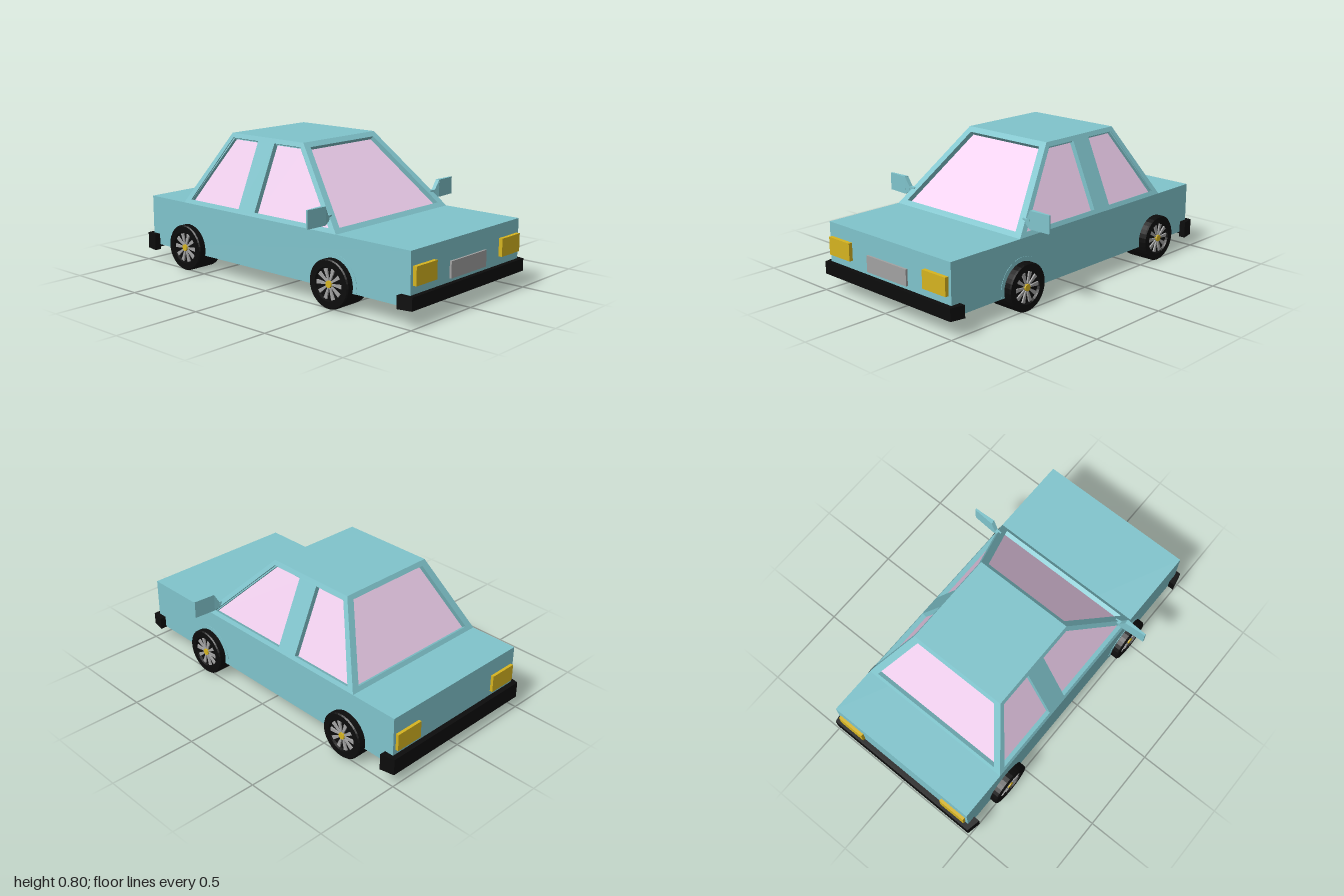
import * as THREE from 'three';
import { ConvexGeometry } from 'three/addons/geometries/ConvexGeometry.js';

const mat = (color, extra = {}) => {
  const m = new THREE.MeshStandardMaterial({ color, flatShading: true });
  return Object.assign(m, extra);
};
const V = (x, y, z) => new THREE.Vector3(x, y, z);

export function createModel() {
  const paint = mat(0x80c4cc);
  const glass = mat(0xf0d0ee, { side: THREE.DoubleSide });
  const black = mat(0x0c0c0c);
  const yellow = mat(0xd6b420);
  const grey = mat(0xa2a2a2);

  const car = new THREE.Group();
  car.name = 'car';

  const add = (name, geometry, material, parent = car) => {
    const mesh = new THREE.Mesh(geometry, material);
    mesh.name = name;
    parent.add(mesh);
    return mesh;
  };
  // Box given by its min and max on each axis
  const box = (name, [x0, x1], [y0, y1], [z0, z1], material) =>
    add(name, new THREE.BoxGeometry(x1 - x0, y1 - y0, z1 - z0), material)
      .position.set((x0 + x1) / 2, (y0 + y1) / 2, (z0 + z1) / 2);

  // Lower body
  box('body', [-0.475, 0.475], [0.1, 0.39], [-0.97, 0.973], paint);

  // Cabin: sloping walls described by height
  const Y0 = 0.39, Y1 = 0.8;
  const at = (a, b) => (y) => a + ((b - a) * (y - Y0)) / (Y1 - Y0);
  const halfW = at(0.475, 0.295), zFront = at(0.49, 0.095), zBack = at(-0.685, -0.458);

  // Flat thick wall with window openings; panes sit recessed in the openings
  const DEPTH = 0.035, RECESS = 0.028;
  function wall(name, outline, holes = []) {
    const u = outline[1].clone().sub(outline[0]).normalize();
    const n = u.clone().cross(outline[3].clone().sub(outline[0])).normalize();
    const v = n.clone().cross(u);
    const flat = (pts) => pts.map((p) => {
      const d = p.clone().sub(outline[0]);
      return new THREE.Vector2(d.dot(u), d.dot(v));
    });
    const place = (geo, depth) => geo.applyMatrix4(new THREE.Matrix4().makeBasis(u, v, n)
      .setPosition(outline[0].clone().addScaledVector(n, -depth)));

    const shape = new THREE.Shape(flat(outline));
    holes.forEach((h) => shape.holes.push(new THREE.Path(flat(h))));
    add(name, place(new THREE.ExtrudeGeometry(shape, { depth: DEPTH, bevelEnabled: false }), DEPTH), paint);
    holes.forEach((h) =>
      add(name + 'Glass', place(new THREE.ShapeGeometry(new THREE.Shape(flat(h))), RECESS), glass));
  }

  // Windscreen and rear window
  const W0 = 0.413, W1 = 0.775;
  for (const [name, z, s] of [['windscreen', zFront, 1], ['rearWindow', zBack, -1]]) {
    const quad = (y0, y1, inset) => [
      V(-s * (halfW(y0) - inset), y0, z(y0)), V(s * (halfW(y0) - inset), y0, z(y0)),
      V(s * (halfW(y1) - inset), y1, z(y1)), V(-s * (halfW(y1) - inset), y1, z(y1))];
    wall(name, quad(Y0, Y1, 0), [quad(W0, W1, 0.043)]);
  }

  // Side walls, each with two windows split by a pillar
  for (const s of [1, -1]) {
    const quad = (y0, y1, f0, b0, b1, f1) => {
      const pts = [V(s * halfW(y0), y0, f0), V(s * halfW(y0), y0, b0),
        V(s * halfW(y1), y1, b1), V(s * halfW(y1), y1, f1)];
      return s > 0 ? pts : [pts[1], pts[0], pts[3], pts[2]];
    };
    wall(s > 0 ? 'leftSide' : 'rightSide',
      quad(Y0, Y1, zFront(Y0), zBack(Y0), zBack(Y1), zFront(Y1)),
      [quad(W0, W1, 0.43, -0.113, -0.113, 0.085), quad(W0, W1, -0.24, -0.635, -0.442, -0.24)]);
  }

  // Roof
  const r = halfW(Y1), zf = zFront(Y1), zb = zBack(Y1);
  wall('roof', [V(-r, Y1, zf), V(r, Y1, zf), V(r, Y1, zb), V(-r, Y1, zb)]);

  // Bumpers: U-shaped bars wrapping round the body corners
  for (const [name, s, y0] of [['frontBumper', 1, 0.095], ['rearBumper', -1, 0.07]]) {
    const pts = [[-0.495, 1], [0.495, 1], [0.512, 0.917], [0.472, 0.917],
      [0.472, 0.965], [-0.472, 0.965], [-0.472, 0.917], [-0.512, 0.917]];
    const shape = new THREE.Shape(pts.map(([x, z]) => new THREE.Vector2(x, -s * z)));
    const geo = new THREE.ExtrudeGeometry(shape, { depth: 0.165 - y0, bevelEnabled: false });
    add(name, geo.rotateX(-Math.PI / 2).translate(0, y0, 0), black);
  }

  // Lamps and number plate
  for (const s of [1, -1]) {
    const xs = s > 0 ? [0.288, 0.457] : [-0.457, -0.288];
    box('headlight', xs, [0.212, 0.312], [0.96, 0.995], yellow);
    box('tailLight', xs, [0.193, 0.292], [-0.987, -0.96], yellow);
  }
  box('numberPlate', [-0.155, 0.155], [0.185, 0.276], [0.96, 0.985], grey);

  // Door mirrors: thin tapering plate on a flared stalk
  for (const s of [1, -1]) {
    const hull = (sections) => new ConvexGeometry(sections.flatMap(([x, y0, y1, z0, z1]) =>
      [V(s * x, y0, z0), V(s * x, y1, z0), V(s * x, y0, z1), V(s * x, y1, z1)]));
    const mirror = new THREE.Group();
    mirror.name = 'doorMirror';
    add('mirrorPlate', hull([[0.485, 0.43, 0.53, 0.405, 0.43], [0.615, 0.43, 0.53, 0.414, 0.424]]), paint, mirror);
    add('mirrorFlare', hull([[0.455, 0.445, 0.475, 0.4, 0.422], [0.486, 0.43, 0.53, 0.405, 0.43]]), paint, mirror);
    add('mirrorStalk', hull([[0.42, 0.445, 0.475, 0.39, 0.415], [0.456, 0.445, 0.475, 0.4, 0.422]]), paint, mirror);
    car.add(mirror);
  }

  // Wheels: tyre with dished face, ten flared spokes and a hub (axis along +x, outer face at 0.085)
  const R = 0.133;
  const tyreProfile = [[0, -0.085], [R - 0.006, -0.085], [R, -0.078], [R, 0.078],
    [R - 0.006, 0.085], [0.092, 0.085], [0.088, 0.07], [0, 0.07]].map(([a, b]) => new THREE.Vector2(a, b));
  const tyre = new THREE.LatheGeometry(tyreProfile, 32).rotateZ(-Math.PI / 2);
  const spokeShape = new THREE.Shape([[-0.004, 0.02], [0.004, 0.02], [0.011, 0.084], [-0.011, 0.084]]
    .map(([a, b]) => new THREE.Vector2(a, b)));
  const spoke = new THREE.ExtrudeGeometry(spokeShape, { depth: 0.012, bevelEnabled: false })
    .rotateY(Math.PI / 2).translate(0.067, 0, 0);
  const hub = new THREE.CylinderGeometry(0.019, 0.019, 0.025, 16).rotateZ(Math.PI / 2).translate(0.072, 0, 0);
  for (const z of [0.475, -0.645]) for (const s of [1, -1]) {
    const wheel = new THREE.Group();
    wheel.name = z > 0 ? 'frontWheel' : 'rearWheel';
    add('tyre', tyre, black, wheel);
    add('hub', hub, yellow, wheel);
    for (let i = 0; i < 10; i++) add('spoke', spoke, grey, wheel).rotation.x = (i + 0.5) * Math.PI / 5;
    wheel.position.set(s * 0.433, R, z);
    if (s < 0) wheel.rotation.y = Math.PI;
    car.add(wheel);
  }

  // Flush arch panels round the front wheels
  const arch = new THREE.Shape().absarc(0, 0, 0.157, -0.21, Math.PI + 0.21, false);
  const archGeo = new THREE.ExtrudeGeometry(arch, { depth: 0.006, bevelEnabled: false, curveSegments: 24 })
    .rotateY(Math.PI / 2).translate(-0.003, 0, 0);
  for (const s of [1, -1]) add('wheelArch', archGeo, paint).position.set(s * 0.474, R, 0.475);

  return car;
}
